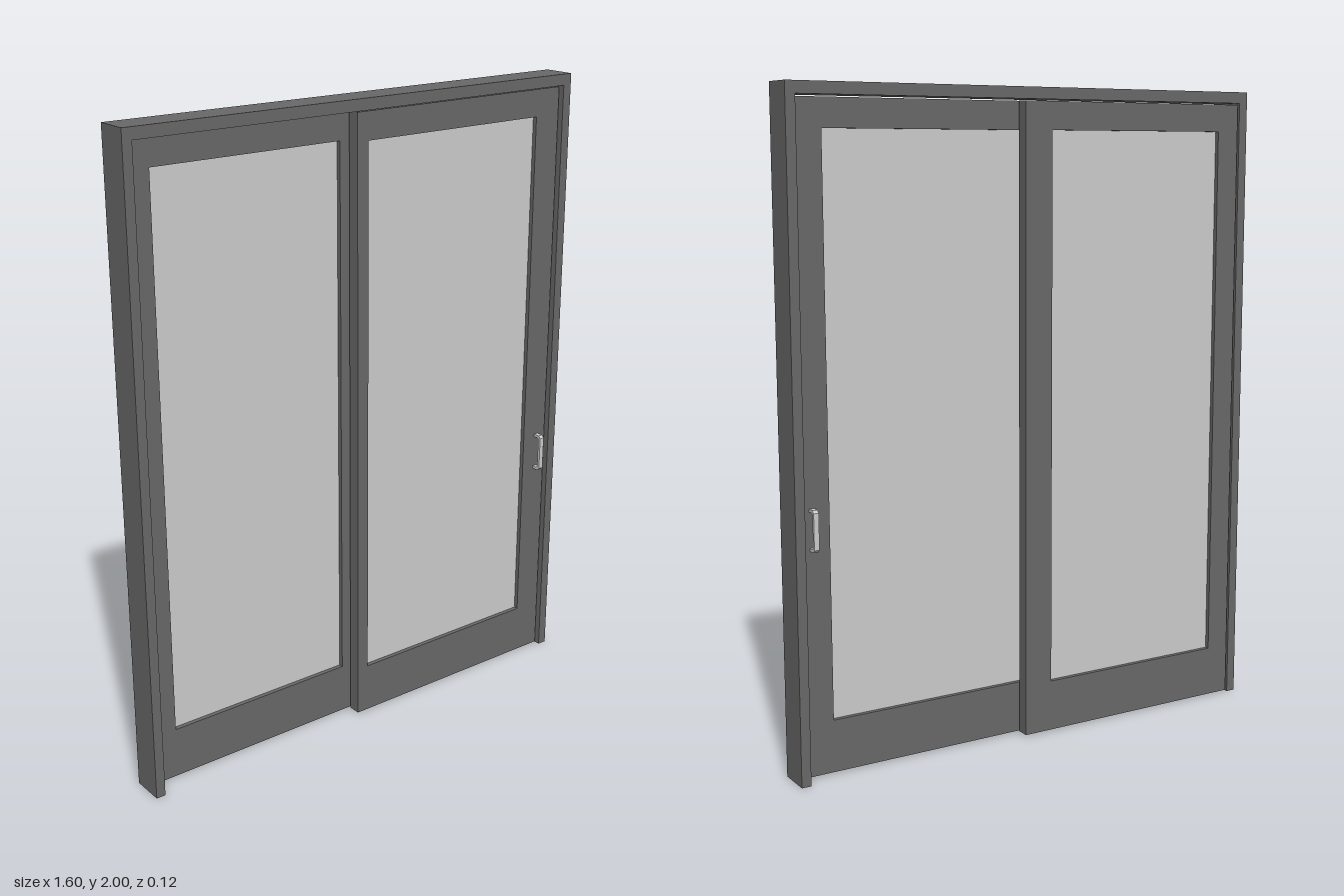
import * as THREE from 'three';

const frameMat = new THREE.MeshStandardMaterial({ color: 0x686868 });
const greyMat = new THREE.MeshStandardMaterial({ color: 0xcccccc });

function polygon(points) {
  return new THREE.Shape(points.map(([x, y]) => new THREE.Vector2(x, y)));
}

function rect(x0, x1, y0, y1) {
  return polygon([[x0, y0], [x1, y0], [x1, y1], [x0, y1]]);
}

// Extrudes an xy shape between two z planes
function slab(name, shape, z0, z1, material) {
  const geo = new THREE.ExtrudeGeometry(shape, { depth: z1 - z0, bevelEnabled: false });
  geo.translate(0, 0, z0);
  const mesh = new THREE.Mesh(geo, material);
  mesh.name = name;
  return mesh;
}

// One glazed panel: stiles and rails around a recessed pane
function createSash(name, [x0, x1], [g0, g1], z0, z1) {
  const sash = new THREE.Group();
  sash.name = name;
  const gy0 = 0.165, gy1 = 1.875;
  const border = rect(x0, x1, 0.005, 1.96);
  border.holes.push(rect(g0, g1, gy0, gy1));
  const mid = (z0 + z1) / 2;
  sash.add(
    slab(name + 'Frame', border, z0, z1, frameMat),
    slab(name + 'Glass', rect(g0, g1, gy0, gy1), mid - 0.006, mid + 0.006, greyMat)
  );
  return sash;
}

// Pull handle: a bracket profile drawn in depth (x) and height (y)
function createHandle(name, x, y, z, reach, facing) {
  const h = 0.062, t = 0.009, c = 0.008, w = 0.016;
  const profile = polygon([
    [0, -h], [reach - c, -h], [reach, -h + c], [reach, h - c], [reach - c, h], [0, h],
    [0, h - t], [reach - t - c / 2, h - t], [reach - t, h - t - c / 2],
    [reach - t, -h + t + c / 2], [reach - t - c / 2, -h + t], [0, -h + t],
  ]);
  const handle = slab(name, profile, -w / 2, w / 2, greyMat);
  handle.rotation.y = facing * -Math.PI / 2;
  handle.position.set(x, y, z);
  return handle;
}

export function createModel() {
  const model = new THREE.Group();
  model.name = 'slidingDoor';

  // Jambs and head, open at the floor
  const surround = polygon([
    [-0.8, 0], [-0.77, 0], [-0.77, 1.965], [0.77, 1.965],
    [0.77, 0], [0.8, 0], [0.8, 2], [-0.8, 2],
  ]);
  model.add(slab('outerFrame', surround, -0.06, 0.045, frameMat));

  // Two overlapping panels on separate tracks
  model.add(createSash('frontSash', [-0.03, 0.765], [0.01, 0.672], -0.01, 0.03));
  model.add(createSash('backSash', [-0.765, 0.035], [-0.688, -0.058], -0.057, -0.017));

  // Pulls on both faces of the sliding panel
  model.add(createHandle('frontHandle', 0.727, 0.745, 0.03, 0.03, 1));
  model.add(createHandle('backHandle', 0.727, 0.745, -0.01, 0.03, -1));
  return model;
}
